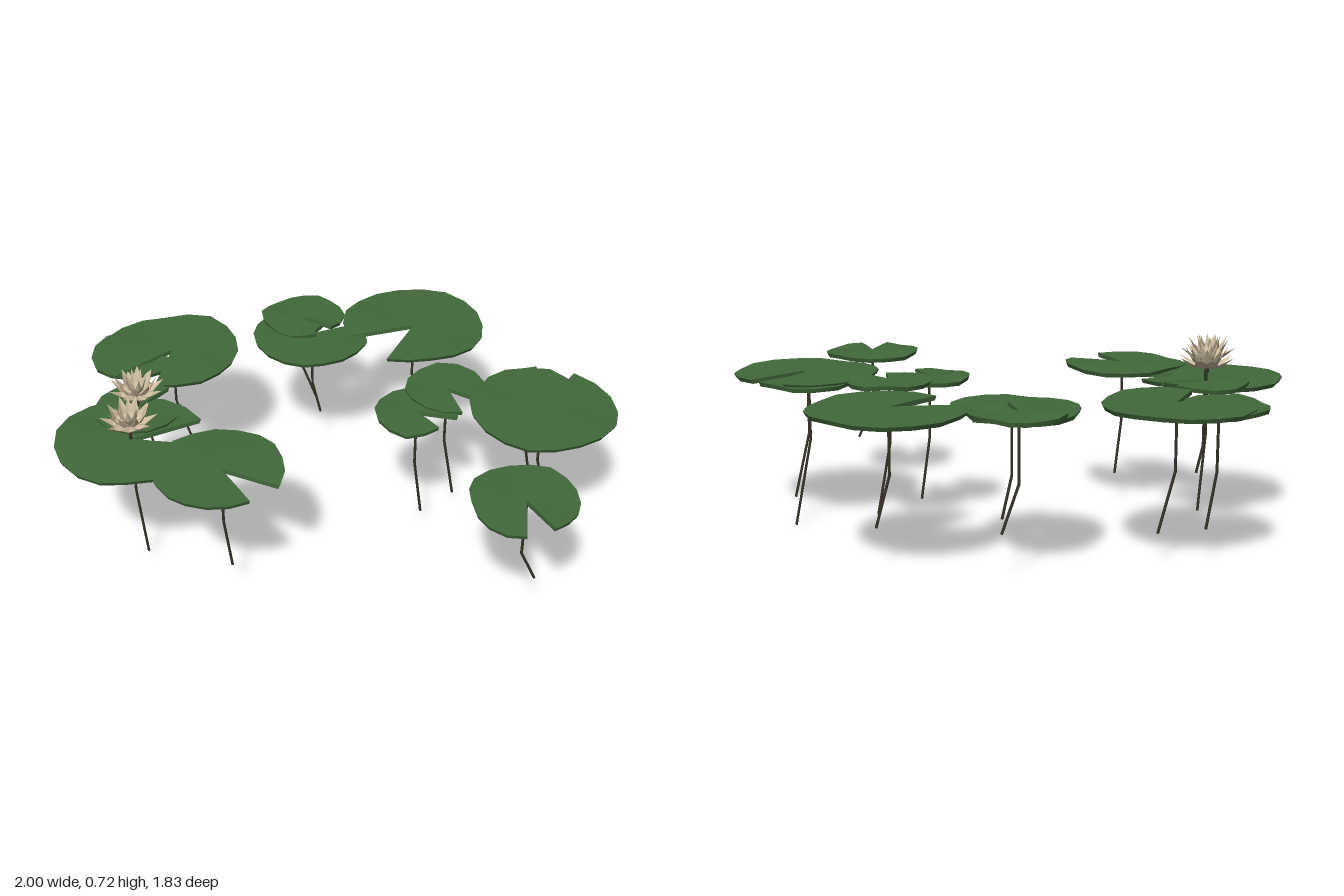
import * as THREE from 'three';
import { toCreasedNormals } from 'three/addons/utils/BufferGeometryUtils.js';

const leafGreen = new THREE.MeshStandardMaterial({ color: 0x42693b });
leafGreen.name = 'leafGreen';
const stemBrown = new THREE.MeshStandardMaterial({ color: 0x38332a });
stemBrown.name = 'stemBrown';
const petalCream = new THREE.MeshStandardMaterial({ color: 0xcdbd9f, side: THREE.DoubleSide, flatShading: true });
petalCream.name = 'petalCream';

function makeMesh(name, geometry, material) {
  const mesh = new THREE.Mesh(geometry, material);
  mesh.name = name;
  return mesh;
}

// Notched, wavy leaf: radii are evenly spaced between the two notch edges
function leafGeometry(startDeg, endDeg, radii, phase) {
  const profile = [[0, 0], [0.55, 0], [1, -0.002], [0.97, -0.018], [0, -0.018]];
  const rows = profile.length;
  const columns = (radii.length - 1) * 2;
  const positions = [];
  const index = [];
  for (let j = 0; j <= columns; j++) {
    const k = Math.min(Math.floor(j / 2), radii.length - 2);
    const radius = THREE.MathUtils.lerp(radii[k], radii[k + 1], j / 2 - k);
    const angle = THREE.MathUtils.degToRad(THREE.MathUtils.lerp(startDeg, endDeg, j / columns));
    for (const [f, y] of profile) {
      const wave = f * (0.005 * Math.sin(3 * angle + phase) + 0.002 * Math.sin(7 * angle + phase * 2));
      positions.push(Math.cos(angle) * radius * f, y + wave, Math.sin(angle) * radius * f);
    }
  }
  for (let j = 0; j < columns; j++) {
    for (let i = 0; i < rows - 1; i++) {
      const a = j * rows + i, b = a + 1, c = b + rows, d = a + rows;
      if (i < rows - 2) index.push(a, c, b);
      if (i > 0) index.push(a, d, c);
    }
  }
  // Walls of the notch
  const last = columns * rows;
  for (let i = 1; i < rows - 1; i++) {
    index.push(0, i, i + 1, last, last + i + 1, last + i);
  }
  const geometry = new THREE.BufferGeometry();
  geometry.setAttribute('position', new THREE.Float32BufferAttribute(positions, 3));
  geometry.setIndex(index);
  return toCreasedNormals(geometry, 0.6);
}

// Thin straight rod between two points
function rod(name, from, to, radius) {
  const curve = new THREE.LineCurve3(new THREE.Vector3(...from), new THREE.Vector3(...to));
  return makeMesh(name, new THREE.TubeGeometry(curve, 1, radius, 6), stemBrown);
}

// One leaf with its stem, which runs straight down and then leans sideways
function lilyPad(name, [x, y, z], [footX, footY], notch, radii) {
  const group = new THREE.Group();
  group.name = name;
  const leaf = makeMesh('leaf', leafGeometry(notch[0], notch[1], radii, x * 11 + z * 7), leafGreen);
  leaf.position.set(x, y, z);
  group.add(leaf);
  group.add(rod('upperStem', [x, y - 0.01, z], [x, 0.33, z], 0.005));
  group.add(rod('lowerStem', [x, 0.333, z], [footX, footY, z], 0.005));
  return group;
}

// Ring of folded kite-shaped petals
function petalRing(name, count, turn, tip, mid, halfWidth) {
  const positions = [];
  for (let i = 0; i < count; i++) {
    const angle = turn + (i / count) * Math.PI * 2;
    const c = Math.cos(angle), s = Math.sin(angle);
    const at = (r, y, w) => [c * r - s * w, y, s * r + c * w];
    const base = at(0, 0, 0);
    const point = at(tip[0], tip[1], 0);
    const keel = at(mid[0] * 1.05, mid[1] - 0.01, 0);
    const left = at(mid[0], mid[1], halfWidth);
    const right = at(mid[0], mid[1], -halfWidth);
    positions.push(...base, ...left, ...keel, ...left, ...point, ...keel);
    positions.push(...base, ...keel, ...right, ...keel, ...point, ...right);
  }
  const geometry = new THREE.BufferGeometry();
  geometry.setAttribute('position', new THREE.Float32BufferAttribute(positions, 3));
  geometry.computeVertexNormals();
  return makeMesh(name, geometry, petalCream);
}

function flower(name, x, z, turn) {
  const group = new THREE.Group();
  group.name = name;
  const step = Math.PI / 8;
  group.add(petalRing('outerPetals', 8, turn, [0.105, 0.046], [0.055, 0.018], 0.023));
  group.add(petalRing('middlePetals', 8, turn + step, [0.078, 0.082], [0.046, 0.035], 0.021));
  group.add(petalRing('innerPetals', 8, turn, [0.045, 0.093], [0.027, 0.045], 0.013));
  group.add(rod('flowerStem', [0, -0.07, 0], [0, 0.005, 0], 0.006));
  group.position.set(x, 0.623, z);
  return group;
}

export function createModel() {
  const model = new THREE.Group();
  model.name = 'waterLilies';
  const pad = (...args) => model.add(lilyPad(...args));

  // Back right cluster
  pad('backRightLargePad', [-0.4, 0.577, -0.655], [-0.34, 0.115], [161, 485],
    [0.28, 0.285, 0.278, 0.255, 0.28, 0.262, 0.257, 0.265, 0.25]);
  pad('backRightSmallPad', [-0.535, 0.568, -0.7], [-0.5, 0.13], [35, 355],
    [0.17, 0.17, 0.18, 0.175, 0.18, 0.175, 0.165]);

  // Right cluster, which carries the flowers
  pad('rightLargePad', [-0.73, 0.567, -0.16], [-0.705, 0.03], [30, 357],
    [0.26, 0.27, 0.26, 0.27, 0.275, 0.285, 0.27, 0.265, 0.275]);
  pad('rightSmallPad', [-0.645, 0.578, -0.33], [-0.62, 0.23], [16, 334],
    [0.16, 0.165, 0.165, 0.165, 0.16, 0.17, 0.16]);
  pad('rightMediumPad', [-0.5, 0.574, 0.147], [-0.475, 0.12], [83, 408],
    [0.215, 0.225, 0.23, 0.25, 0.24, 0.245, 0.24, 0.225, 0.23]);

  // Back left cluster
  pad('backMediumPad', [0.155, 0.569, -0.55], [0.19, 0.18], [0, 325],
    [0.2, 0.23, 0.23, 0.225, 0.235, 0.235, 0.235, 0.22, 0.21]);
  pad('backSmallPad', [0.165, 0.583, -0.67], [0.225, 0.165], [92, 420],
    [0.155, 0.155, 0.15, 0.17, 0.155, 0.17, 0.165, 0.175, 0.145]);
  pad('backLeftLargePad', [0.555, 0.572, -0.435], [0.605, 0.15], [187, 500],
    [0.28, 0.295, 0.295, 0.295, 0.29, 0.28, 0.285, 0.26, 0.27]);

  // Left cluster
  pad('middleSmallPad', [0.29, 0.568, 0.11], [0.325, 0.085], [78, 396],
    [0.13, 0.155, 0.155, 0.16, 0.165, 0.16, 0.155]);
  pad('middleInnerPad', [0.46, 0.577, 0.03], [0.51, 0.06], [97, 418],
    [0.16, 0.155, 0.16, 0.165, 0.175, 0.155, 0.16]);
  pad('leftLargePad', [0.725, 0.575, 0.29], [0.785, 0.08], [327, 656],
    [0.27, 0.275, 0.28, 0.265, 0.27, 0.27, 0.275, 0.275, 0.28]);
  pad('leftSmallPad', [0.735, 0.566, 0.18], [0.8, 0], [135, 460],
    [0.18, 0.185, 0.19, 0.185, 0.19, 0.2, 0.185]);

  // Lone front pad
  pad('frontPad', [0.39, 0.567, 0.74], [0.455, 0.195], [120, 446],
    [0.19, 0.195, 0.19, 0.215, 0.21, 0.21, 0.19, 0.18, 0.17]);

  model.add(flower('frontFlower', -0.73, -0.16, 0.3));
  model.add(flower('backFlower', -0.645, -0.335, 0));
  return model;
}
